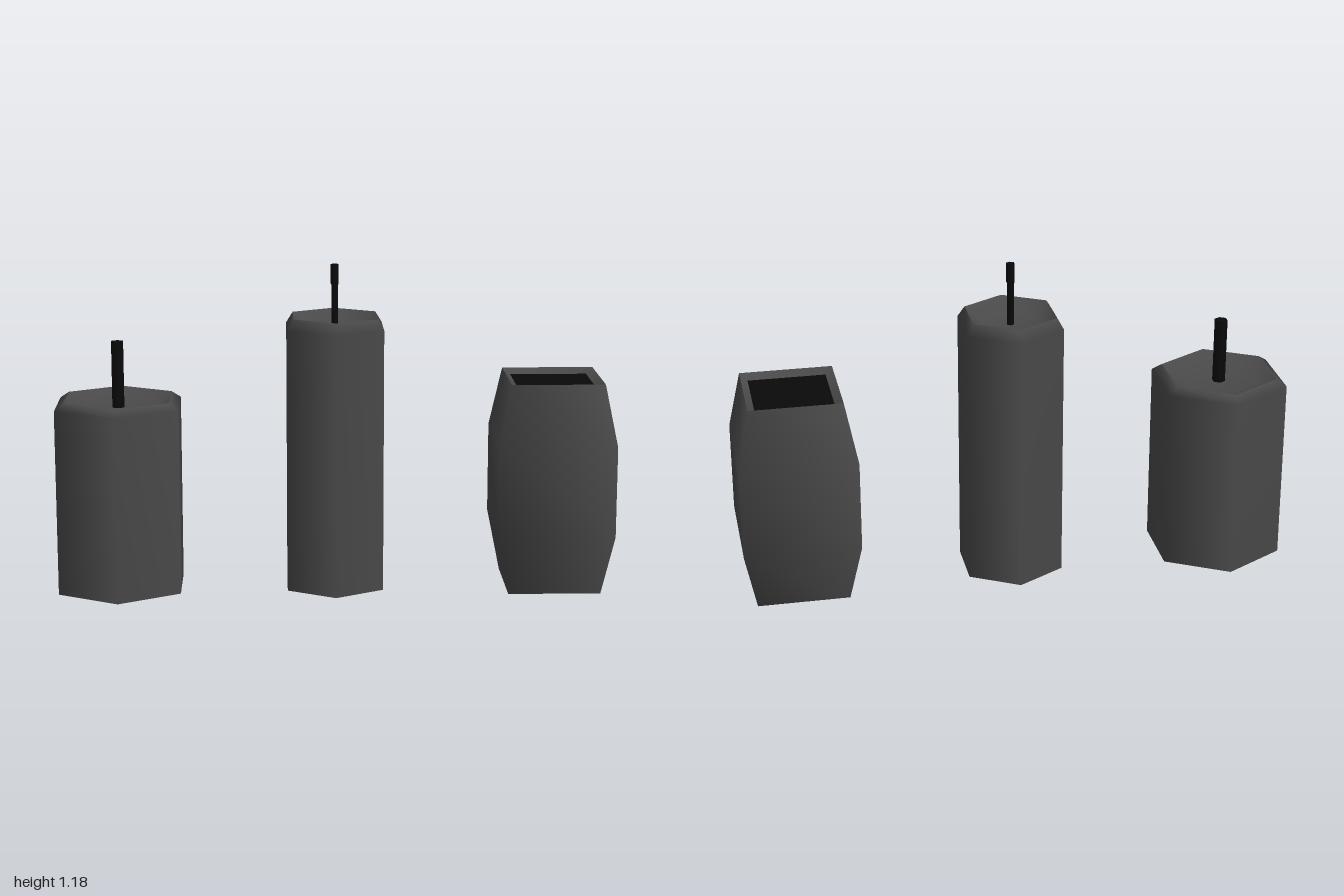
import * as THREE from 'three';

const wax = new THREE.MeshStandardMaterial({ color: 0x4a4a4a });
const black = new THREE.MeshStandardMaterial({ color: 0x0a0a0a });

// Few-sided turned surface, smooth within one profile
function turned(name, profile, sides, material = wax) {
  const points = profile.map(([r, y]) => new THREE.Vector2(r, y));
  const mesh = new THREE.Mesh(new THREE.LatheGeometry(points, sides), material);
  mesh.name = name;
  return mesh;
}

// Hexagonal candle: bevelled shoulder, dished top and a wick
function candle(name, { x, radius, height, bevelY, rim, floor, floorY, wick }) {
  const group = new THREE.Group();
  group.name = name;
  group.position.x = x;
  group.add(
    turned('candleBase', [[0, 0], [radius, 0]], 6),
    turned('candleBody', [[radius, 0], [radius, bevelY], [rim, height]], 6),
    turned('candleDish', [[rim, height], [floor, floorY], [0, floorY]], 6),
    turned('wick', wick, 6, black),
    turned('wickTip', [wick.at(-1), [0, wick.at(-1)[1]]], 6, black)
  );
  return group;
}

// Square holder with bulging sides and a dark, slightly sunken opening
function squareHolder() {
  const group = new THREE.Group();
  group.name = 'squareHolder';
  group.position.x = 0.79;
  group.rotation.y = Math.PI / 4;
  const square = (pts) => pts.map(([half, y]) => [half * Math.SQRT2, y]);
  group.add(
    turned('holderBase', square([[0, 0], [0.167, 0]]), 4),
    turned('holderSides', square([[0.167, 0], [0.21, 0.22], [0.21, 0.55], [0.167, 0.77]]), 4),
    turned('holderRim', square([[0.167, 0.77], [0.14, 0.75]]), 4),
    turned('holderOpening', square([[0.14, 0.75], [0, 0.75]]), 4, black)
  );
  return group;
}

export function createModel() {
  const model = new THREE.Group();
  model.name = 'candleSet';
  model.add(
    candle('shortCandle', {
      x: -0.78, radius: 0.254, height: 0.70, bevelY: 0.675, rim: 0.216,
      floor: 0.14, floorY: 0.665, wick: [[0.024, 0.65], [0.024, 0.905]]
    }),
    candle('tallCandle', {
      x: 0, radius: 0.2, height: 0.995, bevelY: 0.955, rim: 0.173,
      floor: 0.113, floorY: 0.95,
      wick: [[0.013, 0.93], [0.013, 1.105], [0.016, 1.11], [0.016, 1.18]]
    }),
    squareHolder()
  );
  return model;
}
